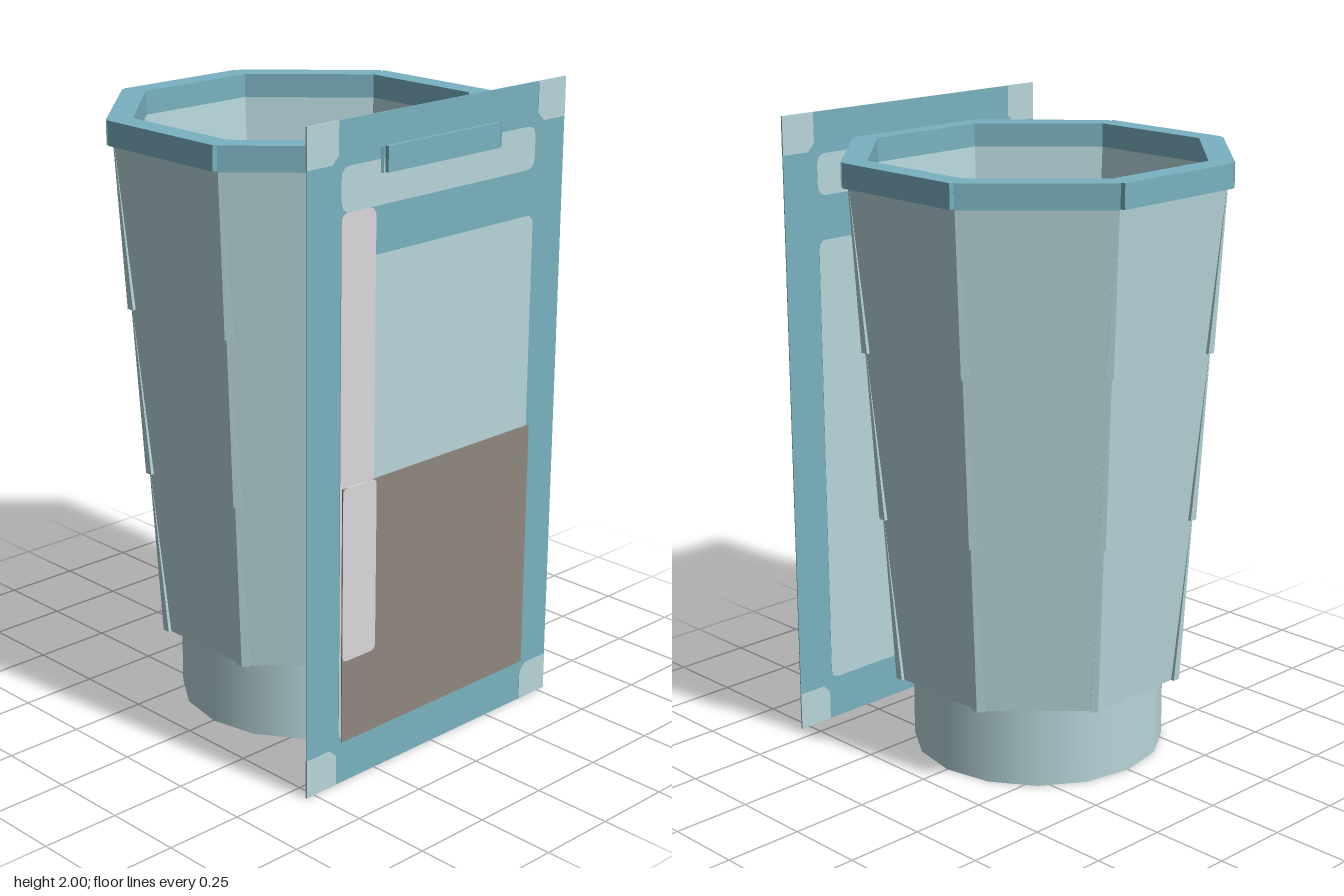
import * as THREE from 'three';
import { ConvexGeometry } from 'three/addons/geometries/ConvexGeometry.js';

const STEP = Math.PI / 4, HALF = Math.PI / 8;
const COS = Math.cos(HALF), SIN = Math.sin(HALF);

function material(name, color) {
  const m = new THREE.MeshStandardMaterial({ color });
  m.name = name;
  return m;
}

function flat(geometry) {
  const g = geometry.index ? geometry.toNonIndexed() : geometry;
  g.computeVertexNormals();
  return g;
}

// Rectangle with rounded corners
function roundedRect(x0, y0, x1, y1, r) {
  const s = new THREE.Shape();
  s.moveTo(x0 + r, y0);
  s.lineTo(x1 - r, y0);
  s.quadraticCurveTo(x1, y0, x1, y0 + r);
  s.lineTo(x1, y1 - r);
  s.quadraticCurveTo(x1, y1, x1 - r, y1);
  s.lineTo(x0 + r, y1);
  s.quadraticCurveTo(x0, y1, x0, y1 - r);
  s.lineTo(x0, y0 + r);
  s.quadraticCurveTo(x0, y0, x0 + r, y0);
  return s;
}

export function createModel() {
  const model = new THREE.Group();
  const pale = material('pale glass', 0xb7d6da);
  const teal = material('teal', 0x7ab2c1);
  const brown = material('brown drink', 0x90877f);
  const shine = material('shine', 0xdad8da);

  const glass = new THREE.Group();
  glass.name = 'glass';
  const card = new THREE.Group();
  card.name = 'card';
  model.add(glass, card);

  function add(parent, name, geometry, mat) {
    const mesh = new THREE.Mesh(geometry, mat);
    mesh.name = name;
    parent.add(mesh);
    return mesh;
  }

  // Round foot
  const foot = new THREE.CylinderGeometry(0.4, 0.4, 0.27, 16);
  foot.translate(0, 0.135, 0);
  add(glass, 'foot', foot, pale);

  // Eight-sided hollow cup: outer wall, lip, inner wall and floor
  const bottom = 0.265, top = 1.85;
  const apothem = (y) => 0.432 + (0.555 - 0.432) * (y - bottom) / (top - bottom);
  const profile = [
    [0.3, bottom], [apothem(bottom), bottom], [apothem(top), top],
    [0.5, top], [0.375, 0.28], [0, 0.28],
  ].map(([a, y]) => new THREE.Vector2(a / COS, y));
  add(glass, 'cup', flat(new THREE.LatheGeometry(profile, 8, HALF)), pale);

  // Drink surface inside the cup
  const drink = new THREE.CylinderGeometry(0.355, 0.355, 0.02, 16);
  drink.translate(0, 0.29, 0);
  add(glass, 'drink', drink, brown);

  // Three tiers of tapered ridges down every corner
  const tiers = [[0.265, 0.8], [0.8, 1.33], [1.33, 1.84]];
  for (const [y0, y1] of tiers) {
    const r0 = apothem(y0) / COS, r1 = apothem(y1) / COS;
    const w = 0.02, out = 0.011;
    const points = [
      new THREE.Vector3(r1, y1, 0),
      new THREE.Vector3(r0 - 0.01, y0, 0),
      new THREE.Vector3(r0 + out / COS, y0, 0),
    ];
    for (const s of [-1, 1]) {
      points.push(new THREE.Vector3(r1 - 0.004 * SIN, y1, s * 0.004 * COS));
      points.push(new THREE.Vector3(r0 - w * SIN, y0, s * w * COS));
      points.push(new THREE.Vector3(r0 - w * SIN + out * COS, y0, s * (w * COS + out * SIN)));
    }
    const ridge = new ConvexGeometry(points);
    for (let k = 0; k < 8; k++) {
      add(glass, 'cornerRidge', ridge, pale).rotation.y = HALF + k * STEP;
    }
  }

  // Octagonal rim with small notches at the corners
  const outline = [], opening = [];
  for (let k = 0; k < 8; k++) {
    const a = k * STEP;
    for (const s of [-1, 1]) {
      outline.push(new THREE.Vector2(
        0.573 * Math.cos(a) - s * 0.23 * Math.sin(a),
        0.573 * Math.sin(a) + s * 0.23 * Math.cos(a)));
    }
    const c = new THREE.Vector2(Math.cos(a + HALF), Math.sin(a + HALF));
    outline.push(c.clone().multiplyScalar(0.603));
    opening.push(c.clone().multiplyScalar(0.497 / COS));
  }
  const rimShape = new THREE.Shape(outline);
  rimShape.holes.push(new THREE.Path(opening));
  const rim = new THREE.ExtrudeGeometry(rimShape, { depth: 0.075, bevelEnabled: false });
  rim.rotateX(-Math.PI / 2);
  rim.translate(0, 1.83, 0);
  add(glass, 'rim', rim, teal);

  // Thin plate centred on a given depth, showing on both sides
  function plate(name, shape, z, thickness, mat) {
    const g = new THREE.ExtrudeGeometry(shape, { depth: thickness, bevelEnabled: false, curveSegments: 4 });
    g.translate(0, 0, z - thickness / 2);
    return add(card, name, g, mat);
  }

  // Card with pale panels
  const z = 0.559;
  plate('cardBack', new THREE.Shape([[-0.53, 0], [0.53, 0], [0.53, 2], [-0.53, 2]]
    .map(([x, y]) => new THREE.Vector2(x, y))), z, 0.003, teal);
  plate('mainPanel', roundedRect(-0.4, 0.14, 0.4, 1.6, 0.03), z, 0.005, pale);
  plate('topPanel', roundedRect(-0.4, 1.74, 0.4, 1.87, 0.035), z, 0.005, pale);
  plate('shineStrip', roundedRect(-0.4, 0.4, -0.265, 1.74, 0.03), z, 0.007, shine);

  // Corner patches, with the inner corner cut
  for (const sx of [-1, 1]) {
    for (const sy of [-1, 1]) {
      const pts = [[0.53, 1], [0.41, 1], [0.41, 0.905], [0.435, 0.88], [0.53, 0.88]]
        .map(([x, y]) => new THREE.Vector2(sx * x, 1 + sy * y));
      plate('cornerPatch', new THREE.Shape(pts), z, 0.005, pale);
    }
  }

  // Drink level plate in front of the card, with the shine over it
  plate('drinkPlate', new THREE.Shape([[-0.4, 0.14], [0.4, 0.14], [0.4, 0.94], [-0.4, 0.94]]
    .map(([x, y]) => new THREE.Vector2(x, y))), 0.572, 0.003, brown);
  plate('drinkShine', roundedRect(-0.4, 0.4, -0.265, 0.94, 0.02), 0.5725, 0.005, shine);

  return model;
}
